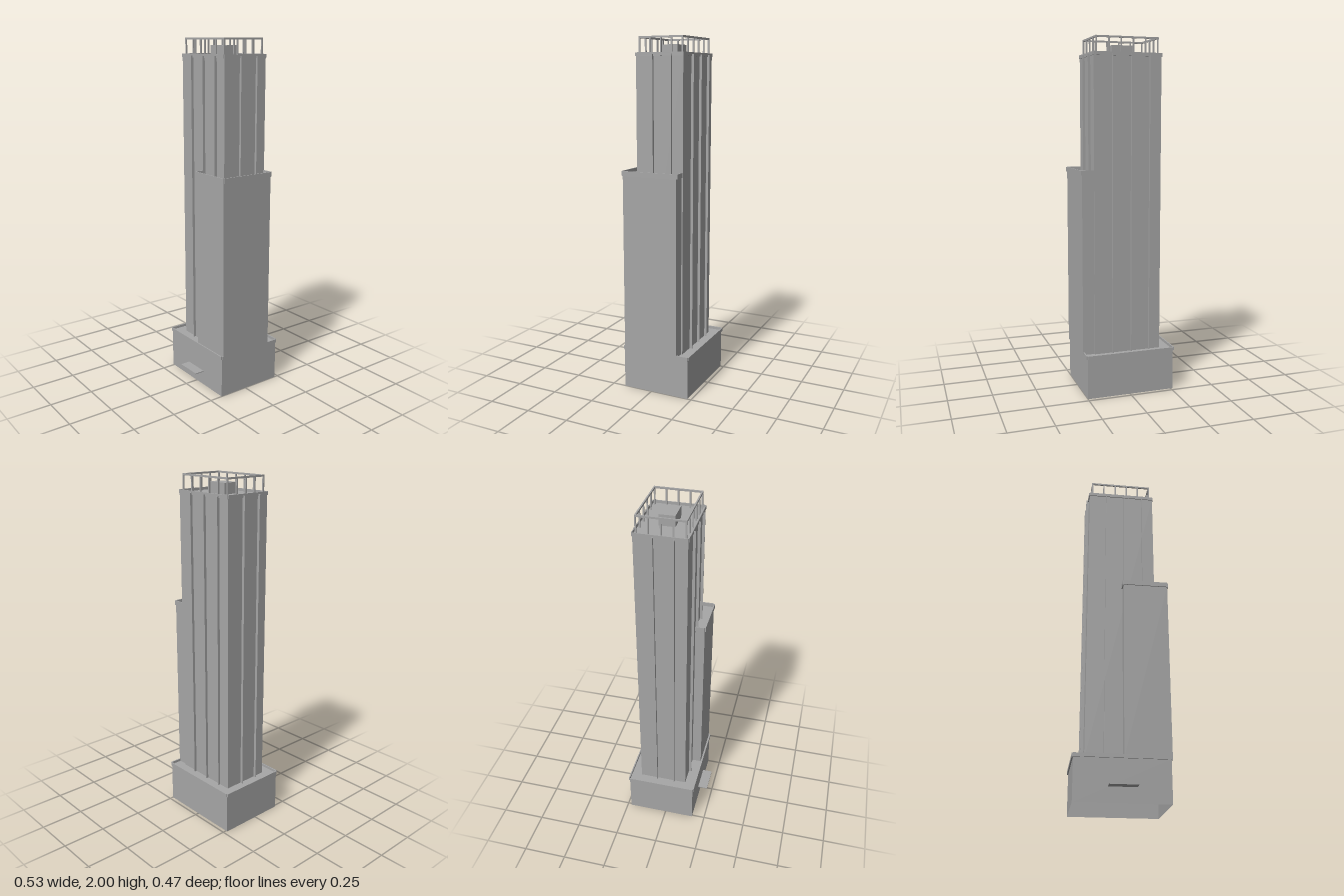
import * as THREE from 'three';

export function createModel() {
  const model = new THREE.Group();
  const concrete = new THREE.MeshStandardMaterial({ color: 0xa6a6a6, side: THREE.DoubleSide });
  concrete.name = 'concrete grey';

  // Box given by its limits on each axis
  function box(name, x0, x1, y0, y1, z0, z1, parent = model) {
    const geometry = new THREE.BoxGeometry(x1 - x0, y1 - y0, z1 - z0);
    const mesh = new THREE.Mesh(geometry, concrete);
    mesh.position.set((x0 + x1) / 2, (y0 + y1) / 2, (z0 + z1) / 2);
    mesh.name = name;
    parent.add(mesh);
    return mesh;
  }

  // Four bars running round the outside of a rectangle
  function rim(name, x0, x1, y0, y1, z0, z1, t) {
    const group = new THREE.Group();
    group.name = name;
    box(name + 'Front', x0, x1, y0, y1, z1, z1 + t, group);
    box(name + 'Back', x0, x1, y0, y1, z0 - t, z0, group);
    box(name + 'Left', x1, x1 + t, y0, y1, z0, z1, group);
    box(name + 'Right', x0 - t, x0, y0, y1, z0, z1, group);
    model.add(group);
  }

  // Base: a hollow shell, open underneath
  const base = box('base', -0.26, 0.25, 0, 0.235, -0.228, 0.173);
  const faces = Array.from(base.geometry.index.array);
  faces.splice(18, 6); // drop the underside
  base.geometry.setIndex(faces);
  rim('baseParapet', -0.26, 0.25, 0.23, 0.25, -0.228, 0.173, 0.007);
  box('entranceCanopy', -0.081, 0.071, 0.083, 0.088, 0.173, 0.231);

  // Main tower with roof lip
  box('tower', -0.199, 0.191, 0.235, 1.9, -0.168, 0.113);
  rim('towerParapet', -0.199, 0.191, 1.895, 1.915, -0.168, 0.113, 0.005);

  // Lower wing wrapped round the front left corner
  box('wing', 0.004, 0.258, 0.235, 1.255, -0.16, 0.167);
  rim('wingParapet', 0.004, 0.258, 1.25, 1.277, -0.16, 0.167, 0.006);

  // Upright fins on all four sides of the tower
  const fins = new THREE.Group();
  fins.name = 'fins';
  model.add(fins);
  const w = 0.002, y0 = 0.235, y1 = 1.905;
  for (const x of [-0.096, 0.013, 0.122]) box('frontFin', x - w, x + w, y0, y1, 0.113, 0.128, fins);
  for (const x of [-0.131, -0.023, 0.086]) box('backFin', x - w, x + w, y0, y1, -0.183, -0.168, fins);
  for (const z of [-0.101, 0.009]) box('leftFin', 0.191, 0.205, y0, y1, z - w, z + w, fins);
  for (const z of [-0.064, 0.045]) box('rightFin', -0.215, -0.199, y0, y1, z - w, z + w, fins);

  // Roof plant room
  box('plantRoom', -0.065, 0.056, 1.9, 1.96, -0.071, 0.016);

  // Roof railing: top bars on evenly spaced posts
  rim('railBar', -0.177, 0.168, 1.99, 2, -0.151, 0.096, 0.008);
  const posts = new THREE.Group();
  posts.name = 'railPosts';
  model.add(posts);
  const xa = -0.181, xb = 0.172, za = -0.155, zb = 0.1, r = 0.004;
  const post = (x, z) => box('railPost', x - r, x + r, 1.9, 2, z - r, z + r, posts);
  for (let i = 0; i <= 5; i++) {
    const x = THREE.MathUtils.lerp(xa, xb, i / 5);
    post(x, za);
    post(x, zb);
  }
  for (let i = 1; i < 4; i++) {
    const z = THREE.MathUtils.lerp(za, zb, i / 4);
    post(xa, z);
    post(xb, z);
  }
  return model;
}
